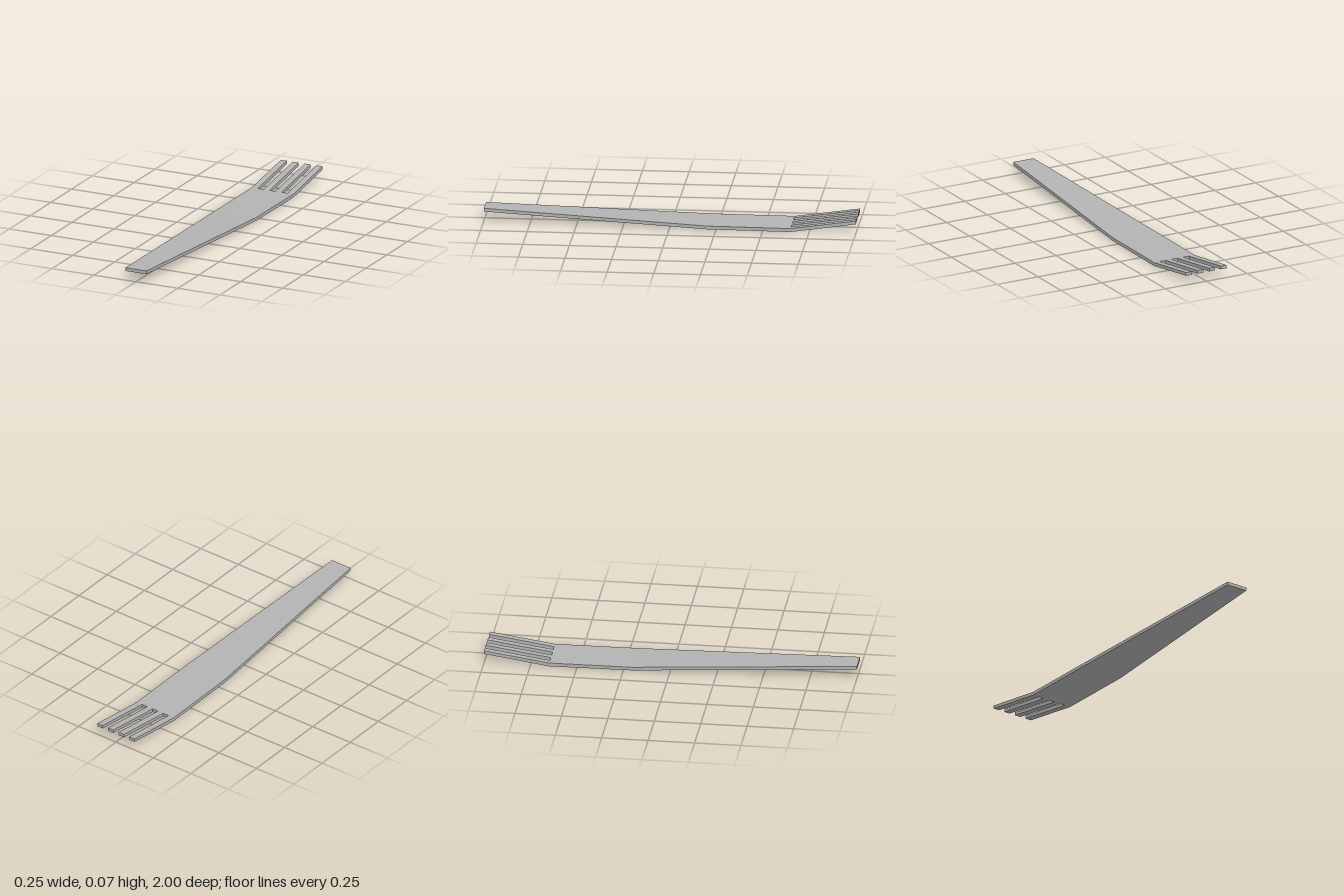
import * as THREE from 'three';

// Stations along the fork: z, half width, underside height, thickness
const HANDLE_END = { z: 1, half: 0.062, y: 0.052, t: 0.018 };
const NECK = { z: -0.2, half: 0.124, y: 0.003, t: 0.018 };
const TINE_ROOT = { z: -0.65, half: 0.124, y: 0, t: 0.019 };
const TINE_TIP = { z: -1, half: 0.124, y: 0.052, t: 0.018 };

// Bends a box through the stations; u0..u1 is the share of the width it covers (-1..1)
function bentBar(stations, u0, u1) {
  const n = stations.length - 1;
  const box = new THREE.BoxGeometry(1, 1, 1, 1, 1, n);
  const p = box.attributes.position;
  for (let i = 0; i < p.count; i++) {
    const s = stations[Math.round((0.5 - p.getZ(i)) * n)];
    const u = p.getX(i) < 0 ? u0 : u1;
    p.setXYZ(i, u * s.half, s.y + (p.getY(i) > 0 ? s.t : 0), s.z);
  }
  const flat = box.toNonIndexed();
  flat.computeVertexNormals();
  return flat;
}

export function createModel() {
  const group = new THREE.Group();
  group.name = 'fork';
  const steel = new THREE.MeshStandardMaterial({ color: 0xb3b3b3, flatShading: true });
  steel.name = 'grey steel';

  const add = (name, geometry) => {
    const mesh = new THREE.Mesh(geometry, steel);
    mesh.name = name;
    group.add(mesh);
  };

  // Tapered handle running into the flat head
  add('handleAndHead', bentBar([HANDLE_END, NECK, TINE_ROOT], -1, 1));

  // Four tines: every other one of seven equal strips
  for (let i = 0; i < 4; i++) {
    const u = -1 + (i * 4) / 7;
    add('tine' + (i + 1), bentBar([TINE_ROOT, TINE_TIP], u, u + 2 / 7));
  }
  return group;
}
